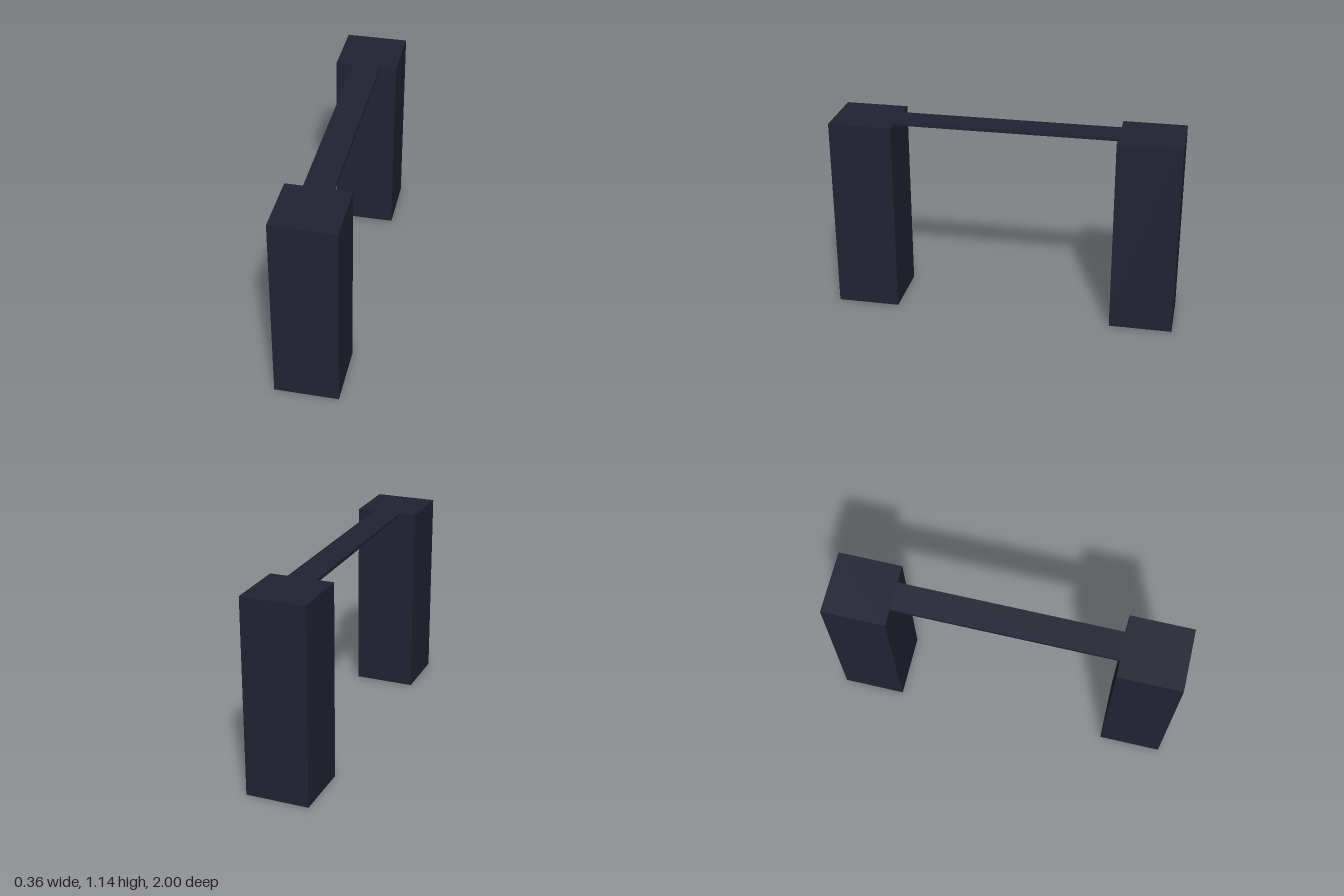
import * as THREE from 'three';

export function createModel() {
  const model = new THREE.Group();
  const darkNavy = new THREE.MeshStandardMaterial({ color: 0x222233 });
  darkNavy.name = 'darkNavy';

  const height = 1.138, side = 0.364;
  const innerZ = 1 - side;

  function addBox(name, w, h, d, y, z) {
    const mesh = new THREE.Mesh(new THREE.BoxGeometry(w, h, d), darkNavy);
    mesh.name = name;
    mesh.position.set(0, y, z);
    model.add(mesh);
  }

  // Two square towers, front and back
  for (const [name, s] of [['frontTower', 1], ['backTower', -1]]) {
    addBox(name, side, height, side, height / 2, s * (1 - side / 2));
  }

  // Thin walkway between the towers, flush with their tops
  const thickness = 0.02;
  addBox('walkway', 0.164, thickness, innerZ * 2, height - thickness / 2, 0);

  return model;
}
